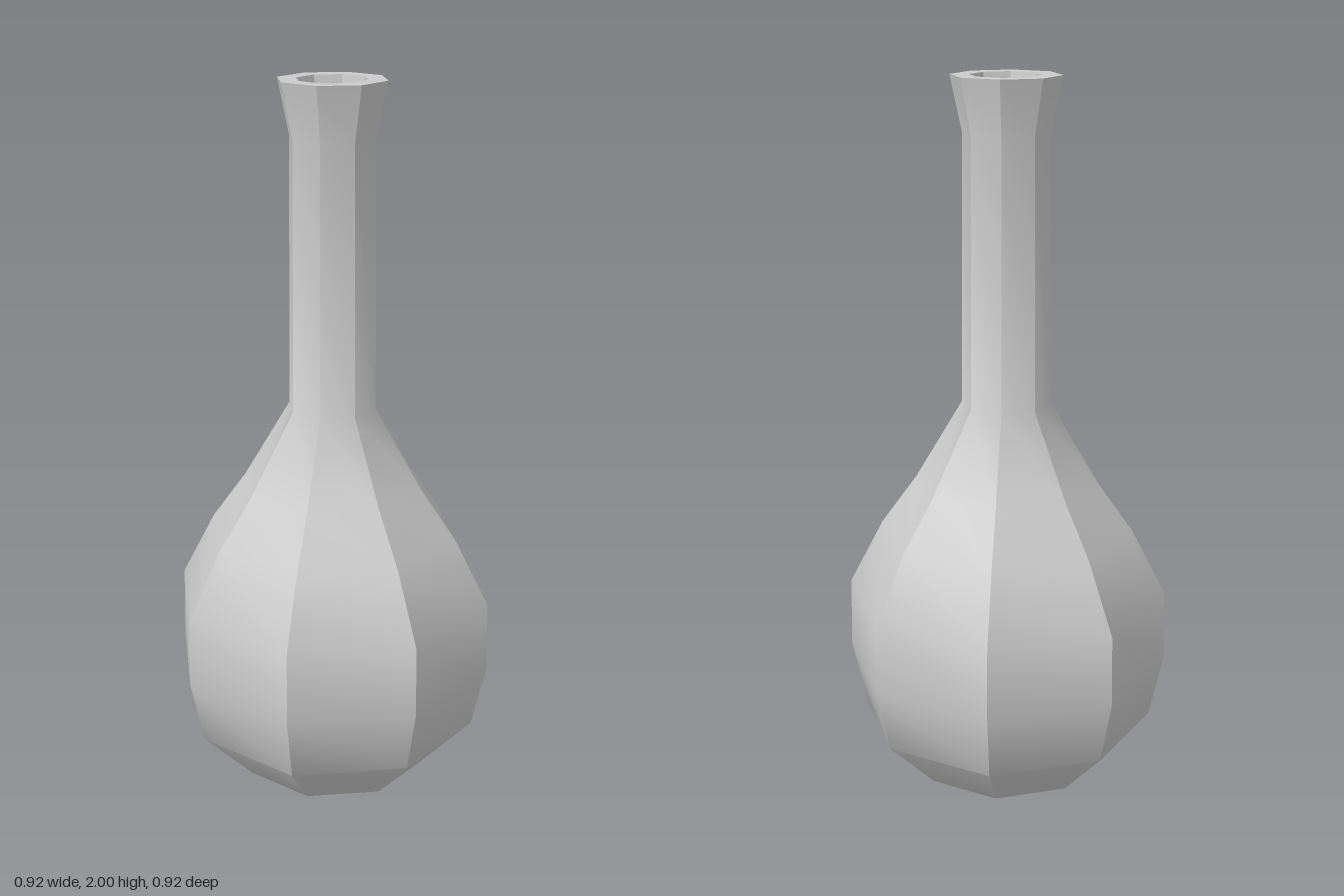
import * as THREE from 'three';
import { toCreasedNormals } from 'three/addons/utils/BufferGeometryUtils.js';

const SIDES = 8;
const material = new THREE.MeshStandardMaterial({ color: 0xcccccc });

// Eight-sided turned shell: sharp between the sides, soft along the height
function turned(name, profile) {
  const points = profile.map(([r, y]) => new THREE.Vector2(r, y));
  const geometry = toCreasedNormals(new THREE.LatheGeometry(points, SIDES), 0.6);
  const mesh = new THREE.Mesh(geometry, material);
  mesh.name = name;
  return mesh;
}

export function createModel() {
  const group = new THREE.Group();
  group.name = 'bottle';

  // Base, round belly, long neck, flared lip and flat rim
  group.add(turned('outerWall', [
    [0, 0], [0.27, 0], [0.42, 0.155], [0.462, 0.34], [0.458, 0.54],
    [0.36, 0.73], [0.26, 0.87], [0.125, 1.1], [0.12, 1.85], [0.152, 2], [0.1, 2],
  ]));

  // Hollow inside, from the mouth down to the floor
  group.add(turned('innerWall', [
    [0.1, 2], [0.073, 1.85], [0.077, 1.09], [0.215, 0.84], [0.315, 0.7],
    [0.408, 0.52], [0.412, 0.345], [0.375, 0.18], [0.25, 0.05], [0, 0.05],
  ]));

  return group;
}
